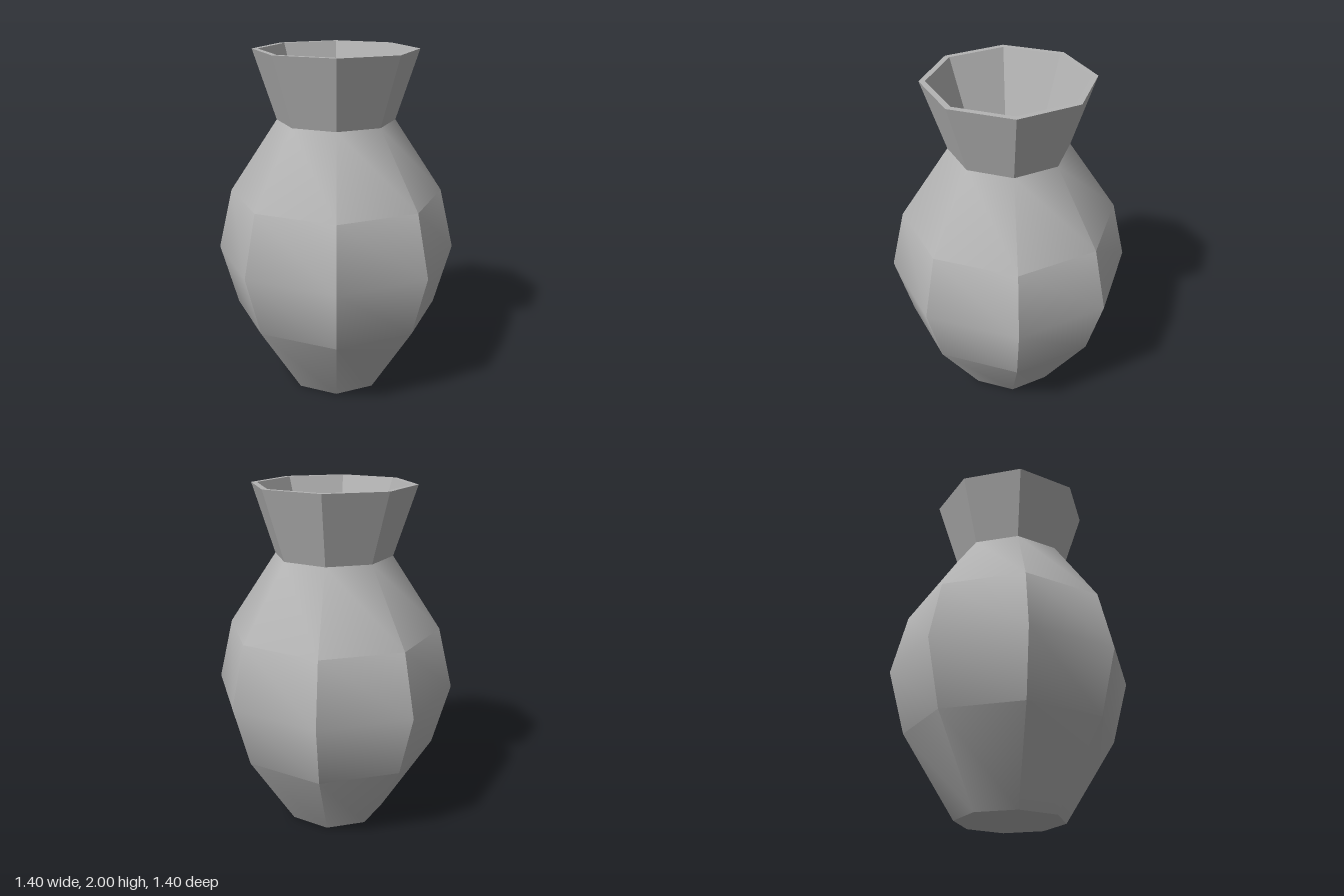
import * as THREE from 'three';
import { toCreasedNormals } from 'three/addons/utils/BufferGeometryUtils.js';

const SIDES = 8;
const CREASE = THREE.MathUtils.degToRad(40); // keeps the neck facets and the widest belly corners sharp

export function createModel() {
  const group = new THREE.Group();
  group.name = 'vase';
  const clay = new THREE.MeshStandardMaterial({ color: 0xb4b4b4 });
  clay.name = 'grey clay';

  // Eight-sided turned part from [radius, height] pairs
  const turned = (name, profile) => {
    const points = profile.map(([r, y]) => new THREE.Vector2(r, y));
    const geometry = toCreasedNormals(new THREE.LatheGeometry(points, SIDES), CREASE);
    const mesh = new THREE.Mesh(geometry, clay);
    mesh.name = name;
    group.add(mesh);
  };

  // Flat foot and swelling belly
  turned('body', [[0, 0], [0.307, 0], [0.6, 0.47], [0.698, 0.835], [0.613, 1.19], [0.336, 1.607]]);

  // Flared neck, rim and inside of the neck
  turned('neck', [[0.336, 1.607], [0.463, 2], [0.43, 2], [0.289, 1.6]]);

  // Hollow inside, down to the floor
  turned('interior', [[0.289, 1.6], [0.575, 1.18], [0.66, 0.835], [0.565, 0.48], [0.268, 0.03], [0, 0.03]]);

  return group;
}
